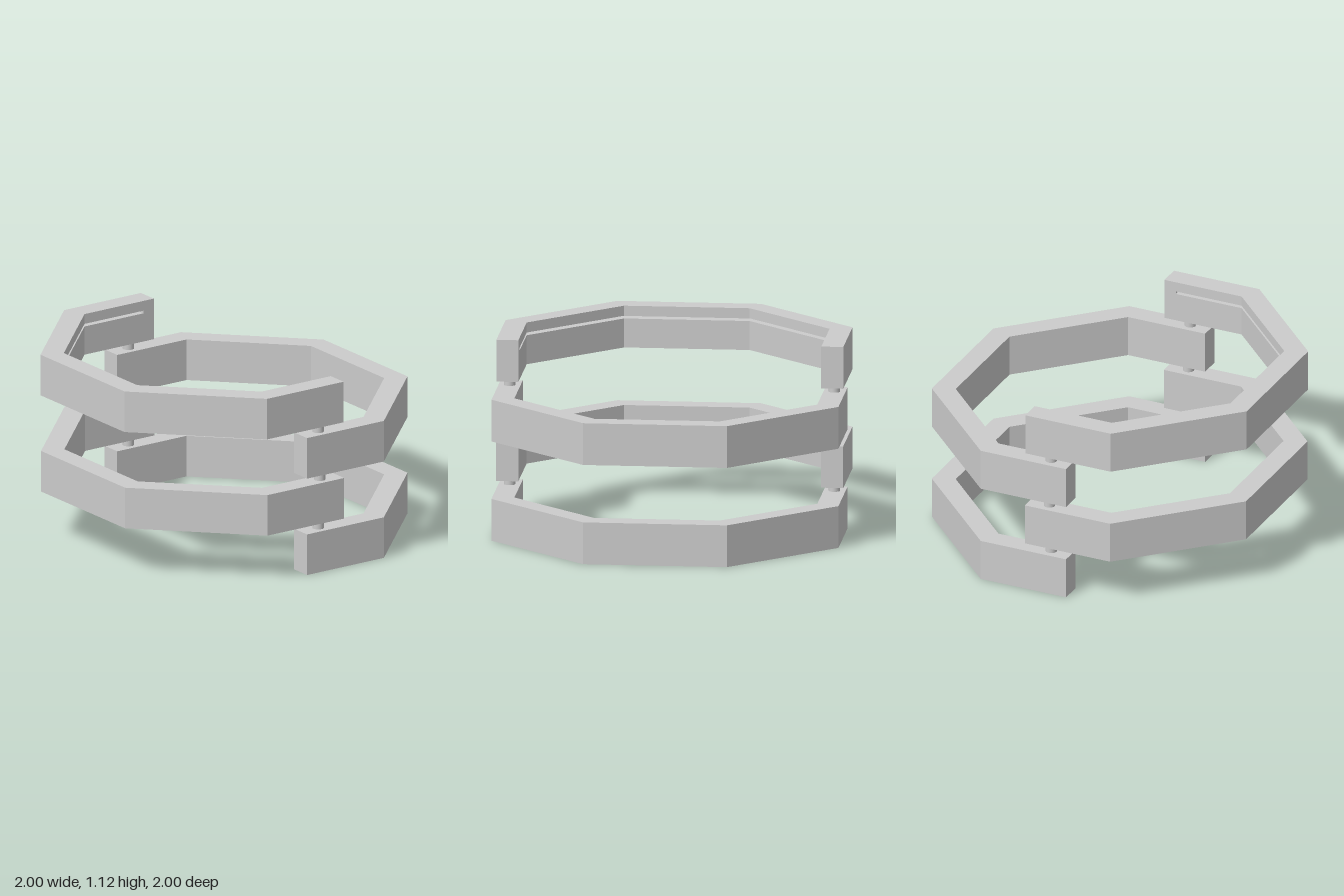
import * as THREE from 'three';
import { mergeGeometries } from 'three/addons/utils/BufferGeometryUtils.js';

const OUT = 1, IN = 0.873, SLOT = 0.943;   // octagon apothems
const END = -0.127, SLOT_END = -0.055;     // where the arms and the slot stop
const HEIGHT = 0.245, PITCH = 0.291;
const PIN_R = 0.033, PIN_X = -0.003, PIN_Z = 0.936;
const T = Math.tan(Math.PI / 8);

const material = new THREE.MeshStandardMaterial({ color: 0xcccccc });

// Points along one half octagon, from the +y arm round to the -y arm
function halfOctagon(a, endX) {
  const c = a * T;
  return [[endX, a], [c, a], [a, c], [a, -c], [c, -a], [endX, -a]];
}

// Flat C outline, optionally with the inner slot cut out or with pin holes
function outline({ slot = false, holes = false } = {}) {
  const inner = slot
    ? [[END, IN], [SLOT_END, IN], ...halfOctagon(SLOT, SLOT_END), [SLOT_END, -IN], [END, -IN]]
    : halfOctagon(IN, END);
  const points = [...halfOctagon(OUT, END), ...inner.reverse()];
  const shape = new THREE.Shape(points.map(([x, y]) => new THREE.Vector2(x, y)));
  if (holes) {
    for (const s of [1, -1]) {
      shape.holes.push(new THREE.Path().absarc(PIN_X, s * PIN_Z, PIN_R, 0, Math.PI * 2, true));
    }
  }
  return shape;
}

// One horizontal slice of a ring between two heights
function layer(y0, y1, options) {
  const geo = new THREE.ExtrudeGeometry(outline(options), {
    depth: y1 - y0, bevelEnabled: false, curveSegments: 12,
  });
  return geo.rotateX(-Math.PI / 2).translate(0, y0, 0);
}

export function createModel() {
  const model = new THREE.Group();
  model.name = 'stackedHalfRings';

  // Plain ring, bottom ring with blind pin holes, top ring with an inner slot
  const plain = layer(0, HEIGHT);
  const holed = mergeGeometries([layer(0, 0.06, { holes: true }), layer(0.06, HEIGHT)]);
  const slotted = mergeGeometries([
    layer(0, 0.17), layer(0.17, 0.186, { slot: true }), layer(0.186, HEIGHT),
  ]);

  const rings = [
    ['bottomHalfRing', holed, -0.004],
    ['lowerMiddleHalfRing', plain, 0.004],
    ['upperMiddleHalfRing', plain, -0.004],
    ['topHalfRing', slotted, 0],
  ];
  const pinGeo = new THREE.CylinderGeometry(PIN_R, PIN_R, PITCH - HEIGHT + 0.08, 24);

  rings.forEach(([name, geo, offset], i) => {
    // Alternate rings open to opposite sides
    const ring = new THREE.Mesh(geo, material);
    ring.name = name;
    ring.position.set(offset, i * PITCH, 0);
    ring.rotation.y = i % 2 ? Math.PI : 0;
    model.add(ring);

    // Pins joining this ring to the next one up
    if (i < rings.length - 1) {
      for (const s of [1, -1]) {
        const pin = new THREE.Mesh(pinGeo, material);
        pin.name = s > 0 ? 'frontPin' : 'backPin';
        pin.position.set(i % 2 ? 0.004 : -0.007, (i * PITCH + HEIGHT + (i + 1) * PITCH) / 2, s * PIN_Z);
        model.add(pin);
      }
    }
  });

  return model;
}
